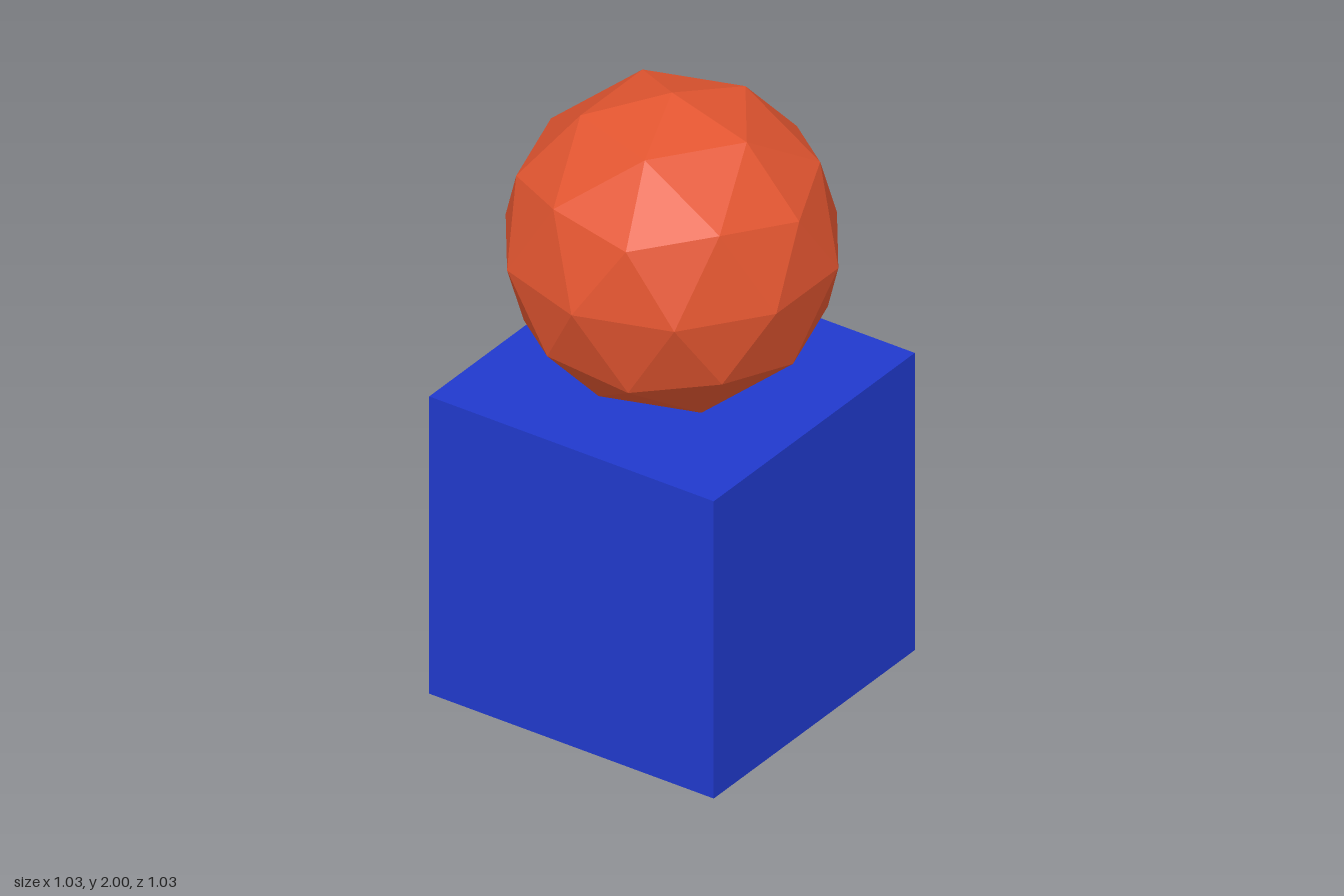
import * as THREE from 'three';

const HALF = 0.513; // half the cube's side, also the ball's radius

export function createModel() {
  const group = new THREE.Group();

  // cube base
  const cube = new THREE.Mesh(
    new THREE.BoxGeometry(2 * HALF, 2 * HALF, 2 * HALF),
    new THREE.MeshStandardMaterial({ color: 0x2039cc })
  );
  cube.name = 'cubeBase';
  cube.position.y = HALF;
  group.add(cube);

  // faceted ball, turned so one corner points straight up and the upper ring has a corner on +x
  const ballGeometry = new THREE.IcosahedronGeometry(HALF, 1);
  ballGeometry.rotateX(-Math.atan2((1 + Math.sqrt(5)) / 2, 1));
  ballGeometry.rotateY(Math.PI / 2);
  ballGeometry.computeVertexNormals();
  const ball = new THREE.Mesh(
    ballGeometry,
    new THREE.MeshStandardMaterial({ color: 0xe25530, flatShading: true })
  );
  ball.name = 'facetedBall';
  ball.position.y = 2 - HALF;
  group.add(ball);

  return group;
}
